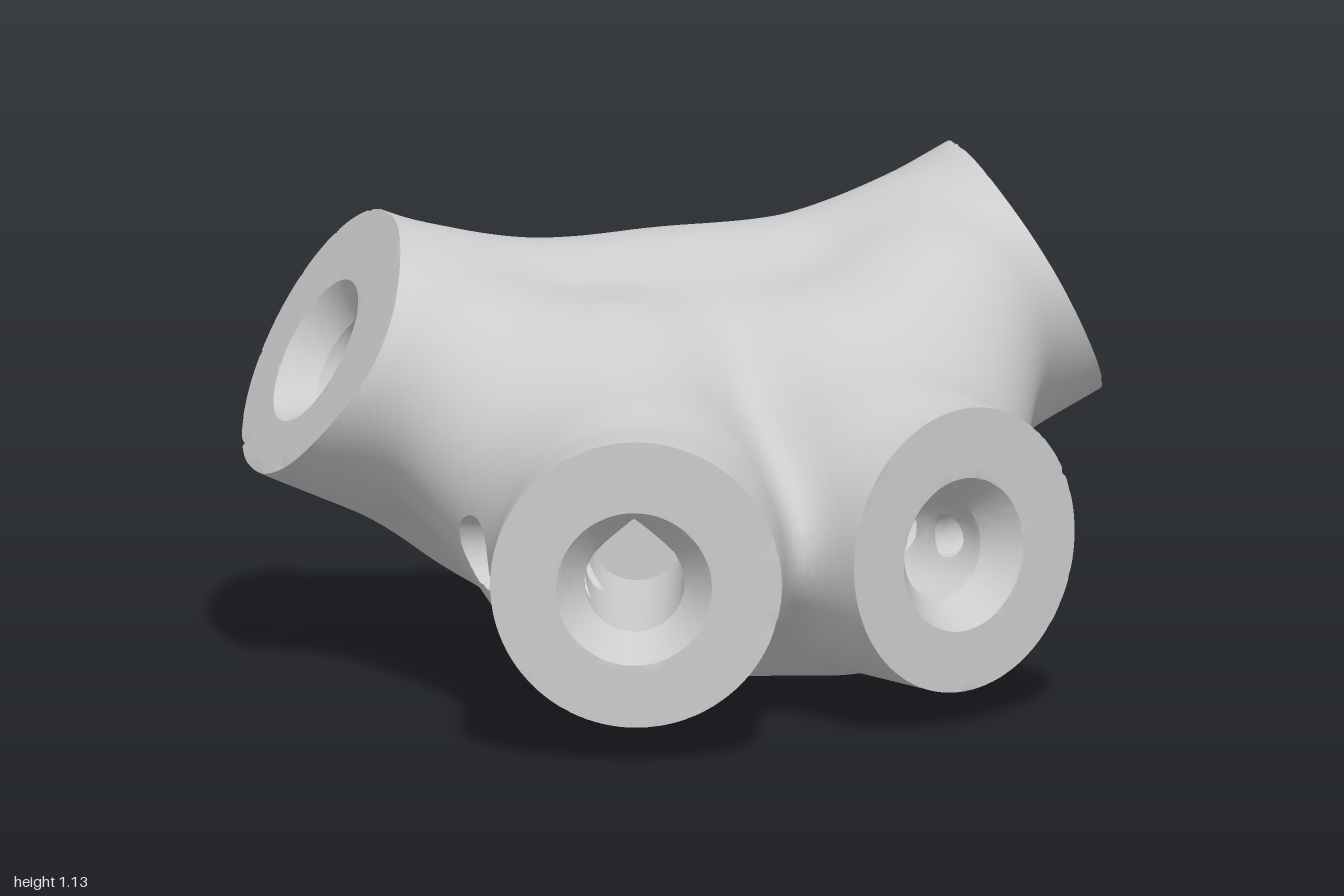
import * as THREE from 'three';
import { toCreasedNormals } from 'three/addons/utils/BufferGeometryUtils.js';

const V = (x, y, z) => new THREE.Vector3(x, y, z);
const HUB = V(-0.04, 0.4, -0.45);
const SOCKET = { rim: 0.178, bore: 0.114, depth: 0.64, drop: 0.012 };

// Four socket arms: cap centre, cap normal, radius, and the cross holes
// (side = direction in the cap's up/side frame, holes = [distance from cap, radius])
const arms = [
  { c: V(0.84, 0.828, -0.472), n: V(0.879, 0.477, 0), r: 0.335, side: [0.56, -0.83], holes: [[0.18, 0.05], [0.51, 0.085]] },
  { c: V(-0.844, 0.746, -0.472), n: V(-0.877, 0.48, 0), r: 0.335, side: [-0.77, 0.64], holes: [[0.15, 0.05], [0.37, 0.085]] },
  { c: V(-0.458, 0.415, 0.752), n: V(-0.298, 0, 0.954), r: 0.336, side: [0, 1], holes: [[0.16, 0.05], [0.4, 0.085]] },
  { c: V(0.381, 0.408, 0.573), n: V(0.4, 0, 0.917), r: 0.333, side: [0, -1], holes: [[0.185, 0.05], [0.385, 0.085]] },
];
for (const a of arms) {
  a.n.normalize();
  a.u = V(0, 1, 0).addScaledVector(a.n, -a.n.y).normalize();
  a.w = a.n.clone().cross(a.u);
}

// Rounded bars that melt together into the body
const bars = [
  ...arms.map((a) => [HUB, a.c.clone().addScaledVector(a.n, 0.15), a.r - 0.003]),
  [V(-0.02, 0.42, -0.44), V(0, 0.58, -0.42), 0.328], // core
  [V(-0.32, 0.48, -0.46), V(0.26, 0.48, -0.46), 0.322], // back fill
  [V(-0.5, 0.67, -0.41), V(0.5, 0.69, -0.41), 0.285], // top ridge
  [V(-0.36, 0.62, -0.1), V(0.36, 0.63, -0.1), 0.25], // brow
  [V(-0.28, 0.63, 0), V(-0.36, 0.51, 0.32), 0.24], // right slope
  [V(0.26, 0.63, 0), V(0.3, 0.5, 0.28), 0.24], // left slope
  [V(-0.24, 0.36, -0.1), V(0.24, 0.355, -0.01), 0.32], // belly
  [V(-0.59, 0.67, -0.17), V(-0.43, 0.45, 0.18), 0.245], // right flank
  [V(0.54, 0.75, -0.17), V(0.37, 0.45, 0.14), 0.248], // left flank
].map(([a, b, r]) => ({ a, d: b.clone().sub(a), r, l2: a.distanceToSquared(b) }));

function barDistance({ a, d, r, l2 }, x, y, z) {
  const px = x - a.x, py = y - a.y, pz = z - a.z;
  const t = Math.min(1, Math.max(0, (px * d.x + py * d.y + pz * d.z) / l2));
  return Math.hypot(px - t * d.x, py - t * d.y, pz - t * d.z) - r;
}

function blend(a, b, k = 0.14) {
  const h = Math.max(k - Math.abs(a - b), 0) / k;
  return Math.min(a, b) - h * h * k * 0.25;
}

// Signed distance of the material that one arm removes
function armCut(arm, x, y, z) {
  const { c, n, u, w, side, holes } = arm;
  const px = x - c.x, py = y - c.y, pz = z - c.z;
  const t = -(px * n.x + py * n.y + pz * n.z);
  const b = px * u.x + py * u.y + pz * u.z + SOCKET.drop;
  const a = px * w.x + py * w.y + pz * w.z;
  const r = Math.hypot(a, b);
  const cap = Math.max(t, r - 0.52);
  const cone = Math.max((r - SOCKET.rim + 0.85 * t) * 0.76, -t - 0.1);
  // bore with a pointed roof
  const tear = (b > Math.abs(a) ? (Math.abs(a) + b) * Math.SQRT1_2 : r) - SOCKET.bore;
  let d = Math.min(cap, cone, Math.max(tear, t - SOCKET.depth, -t - 0.1));
  // cross holes
  const q = a * side[1] + b * side[0], s = a * side[0] - b * side[1];
  for (const [at, hr] of holes) d = Math.min(d, Math.max(Math.hypot(t - at, s) - hr, -q, q - 0.6));
  return d;
}

function field(x, y, z) {
  let d = barDistance(bars[0], x, y, z);
  for (let i = 1; i < bars.length; i++) d = blend(d, barDistance(bars[i], x, y, z));
  if (d > 0.15) return d;
  for (const arm of arms) d = Math.max(d, -armCut(arm, x, y, z));
  return d;
}

// Dual contouring: one vertex per crossed cell, pulled onto the tangent planes
// of its edge crossings so that rims stay sharp
function contour(f, min, max, h) {
  const N = [0, 1, 2].map((i) => Math.ceil((max[i] - min[i]) / h) + 1);
  const step = [1, N[0], N[0] * N[1]];
  const values = new Float32Array(N[0] * N[1] * N[2]);
  const at = (g) => g.map((v, i) => min[i] + v * h);
  const cells = new Map(), faces = [];
  for (let k = 0, id = 0; k < N[2]; k++)
    for (let j = 0; j < N[1]; j++)
      for (let i = 0; i < N[0]; i++) values[id++] = f(...at([i, j, k]));

  for (let k = 1; k < N[2] - 1; k++)
    for (let j = 1; j < N[1] - 1; j++)
      for (let i = 1; i < N[0] - 1; i++) {
        const id = i + j * step[1] + k * step[2];
        for (let a = 0; a < 3; a++) {
          const v0 = values[id], v1 = values[id + step[a]];
          if (v0 < 0 === v1 < 0) continue;
          // crossing point by bisection, normal by differences
          const p = at([i, j, k]), start = p[a];
          let lo = 0, hi = h;
          for (let s = 0; s < 9; s++) {
            const mid = (lo + hi) / 2;
            p[a] = start + mid;
            if (f(...p) < 0 === v0 < 0) lo = mid; else hi = mid;
          }
          const e = 5e-4;
          const normal = [0, 1, 2].map((m) => {
            const p1 = p.slice(), p2 = p.slice();
            p1[m] += e; p2[m] -= e;
            return f(...p1) - f(...p2);
          });
          const len = Math.hypot(...normal) || 1;
          const plane = [p, normal.map((v) => v / len)];
          const sb = step[(a + 1) % 3], sc = step[(a + 2) % 3];
          const quad = [id, id - sb, id - sb - sc, id - sc];
          for (const c of quad) {
            if (!cells.has(c)) cells.set(c, []);
            cells.get(c).push(plane);
          }
          faces.push(v0 < 0 ? quad : quad.reverse());
        }
      }

  const positions = [], index = [], vertexOf = new Map();
  for (const [c, planes] of cells) {
    const g = [c % N[0], Math.floor(c / step[1]) % N[1], Math.floor(c / step[2])];
    const lo = at(g), v = [0, 1, 2].map((m) => planes.reduce((s, [p]) => s + p[m], 0) / planes.length);
    for (let it = 0; it < 30; it++) {
      const move = [0, 0, 0];
      for (const [p, n] of planes) {
        const d = n[0] * (p[0] - v[0]) + n[1] * (p[1] - v[1]) + n[2] * (p[2] - v[2]);
        for (let m = 0; m < 3; m++) move[m] += (d * n[m]) / planes.length;
      }
      for (let m = 0; m < 3; m++) v[m] = Math.min(lo[m] + h, Math.max(lo[m], v[m] + move[m]));
    }
    vertexOf.set(c, positions.length / 3);
    positions.push(...v);
  }
  for (const quad of faces) {
    const [a, b, c, d] = quad.map((q) => vertexOf.get(q));
    index.push(a, b, c, a, c, d);
  }
  const geometry = new THREE.BufferGeometry();
  geometry.setAttribute('position', new THREE.Float32BufferAttribute(positions, 3));
  geometry.setIndex(index);
  return geometry;
}

export function createModel() {
  const grey = new THREE.MeshStandardMaterial({ color: 0xcccccc });
  grey.name = 'plain grey';

  const geometry = contour(field, [-1.05, -0.1, -0.95], [1.05, 1.2, 0.93], 0.0185);
  const body = new THREE.Mesh(toCreasedNormals(geometry, 0.6), grey);
  body.name = 'fourWayConnector';
  const model = new THREE.Group();
  model.name = 'pipeJoint';
  model.add(body);
  return model;
}
